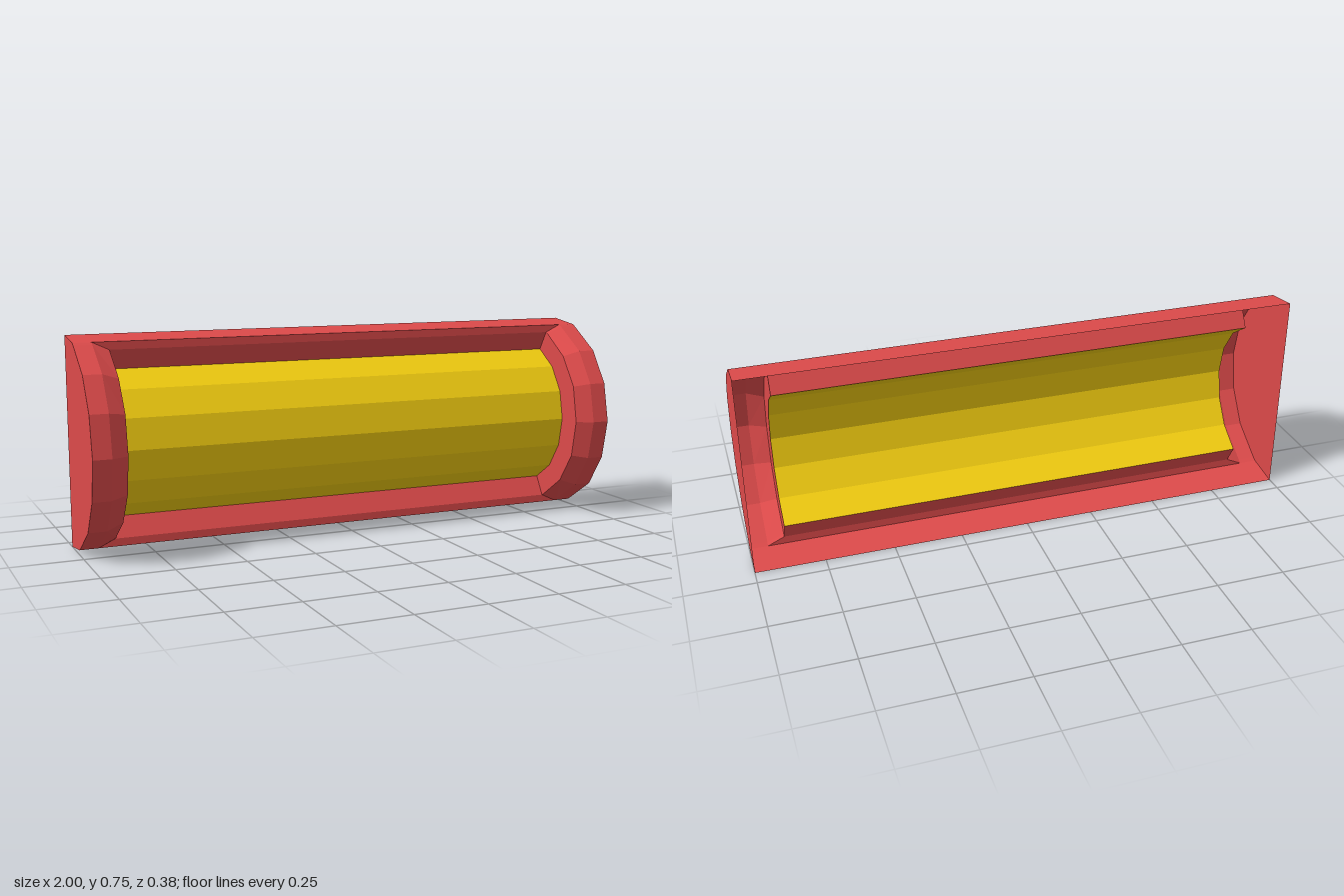
import * as THREE from 'three';

const RED = 0xdc4a4a, YELLOW = 0xf1cc10;
const H = 0.75; // overall height

const material = color => new THREE.MeshStandardMaterial({
  color, flatShading: true, side: THREE.DoubleSide,
});

// Profiles are lists of [z, y]; flip mirrors one about mid height
const flip = profile => profile.map(([z, y]) => [z, H - y]).reverse();
const whole = half => [...half, ...flip(half).slice(1)];
const section = (profile, x) => profile.map(([z, y]) => [x, y, z]);

// Thin sheet between two cross-sections
function loft(a, b) {
  const pos = [];
  for (let i = 0; i < a.length - 1; i++) {
    for (const p of [a[i], a[i + 1], b[i + 1], a[i], b[i + 1], b[i]]) pos.push(...p);
  }
  const g = new THREE.BufferGeometry();
  g.setAttribute('position', new THREE.Float32BufferAttribute(pos, 3));
  g.computeVertexNormals();
  return g;
}

// Flat panel across x, facing +x or -x
function panel(profile, x, facing) {
  const pts = profile.map(([z, y]) => new THREE.Vector2(-facing * z, y));
  return new THREE.ShapeGeometry(new THREE.Shape(pts))
    .rotateY(facing * Math.PI / 2).translate(x, 0, 0);
}

export function createModel() {
  const root = new THREE.Group();
  const red = material(RED), yellow = material(YELLOW);
  const add = (parent, name, geometry, mat) => {
    const m = new THREE.Mesh(geometry, mat);
    m.name = name;
    parent.add(m);
  };

  const XO = 1, XM = 0.935, XI = 0.875; // end, bevel start, opening edge
  const back = [-0.19, H], lip = [-0.065, 0.733], lipIn = [-0.065, 0.705];
  const outer = whole([lip, [-0.05, 0.725], [0.08, 0.64], [0.16, 0.52], [0.19, H / 2]]);
  const inner = whole([lipIn, [-0.055, 0.7], [0.06, 0.62], [0.135, 0.51], [0.16, H / 2]]);

  // Shallow six-sided arc of the shade
  const R = 0.282, step = 22.3 * Math.PI / 180;
  const arc = [];
  for (let i = -3; i <= 3; i++) {
    arc.push([0.065 - R + R * Math.cos(i * step), H / 2 - R * Math.sin(i * step)]);
  }
  add(root, 'shade', loft(section(arc, -XI), section(arc, XI)), yellow);

  // Upper and lower rails: outer face, mitred bevel, slope back to the shade
  for (const top of [true, false]) {
    const rail = new THREE.Group();
    rail.name = top ? 'topRail' : 'bottomRail';
    root.add(rail);
    const side = p => (top ? p : flip(p));
    const strip = (name, p, x0, x1 = x0) => {
      const pts = side(p.map((q, i) => [...q])), xs = top ? [x0, x1] : [x1, x0];
      add(rail, name, loft(
        pts.map(([z, y], i) => [-xs[i], y, z]),
        pts.map(([z, y], i) => [xs[i], y, z])), red);
    };
    strip('railFace', [back, lip], XO);
    strip('railBevel', [lip, lipIn], XM, XI);
    strip('railSlope', [lipIn, arc[0]], XI);
  }

  // End caps: outer plate, rim, bevel and inner wall down to the shade
  for (const s of [1, -1]) {
    const cap = new THREE.Group();
    cap.name = s > 0 ? 'leftEndCap' : 'rightEndCap';
    root.add(cap);
    const band = (name, p, xp, q, xq) => {
      const a = section(p, s * xp), b = section(q, s * xq);
      add(cap, name, s > 0 ? loft(a, b) : loft(b, a), red);
    };
    add(cap, 'endPlate', panel([back, ...outer, flip([back])[0]], s * XO, s), red);
    band('capRim', outer, XM, outer, XO);
    band('capBevel', inner, XI, outer, XM);
    add(cap, 'innerWall', panel([...inner, ...[...arc].reverse()], s * XI, -s), red);
  }
  return root;
}
